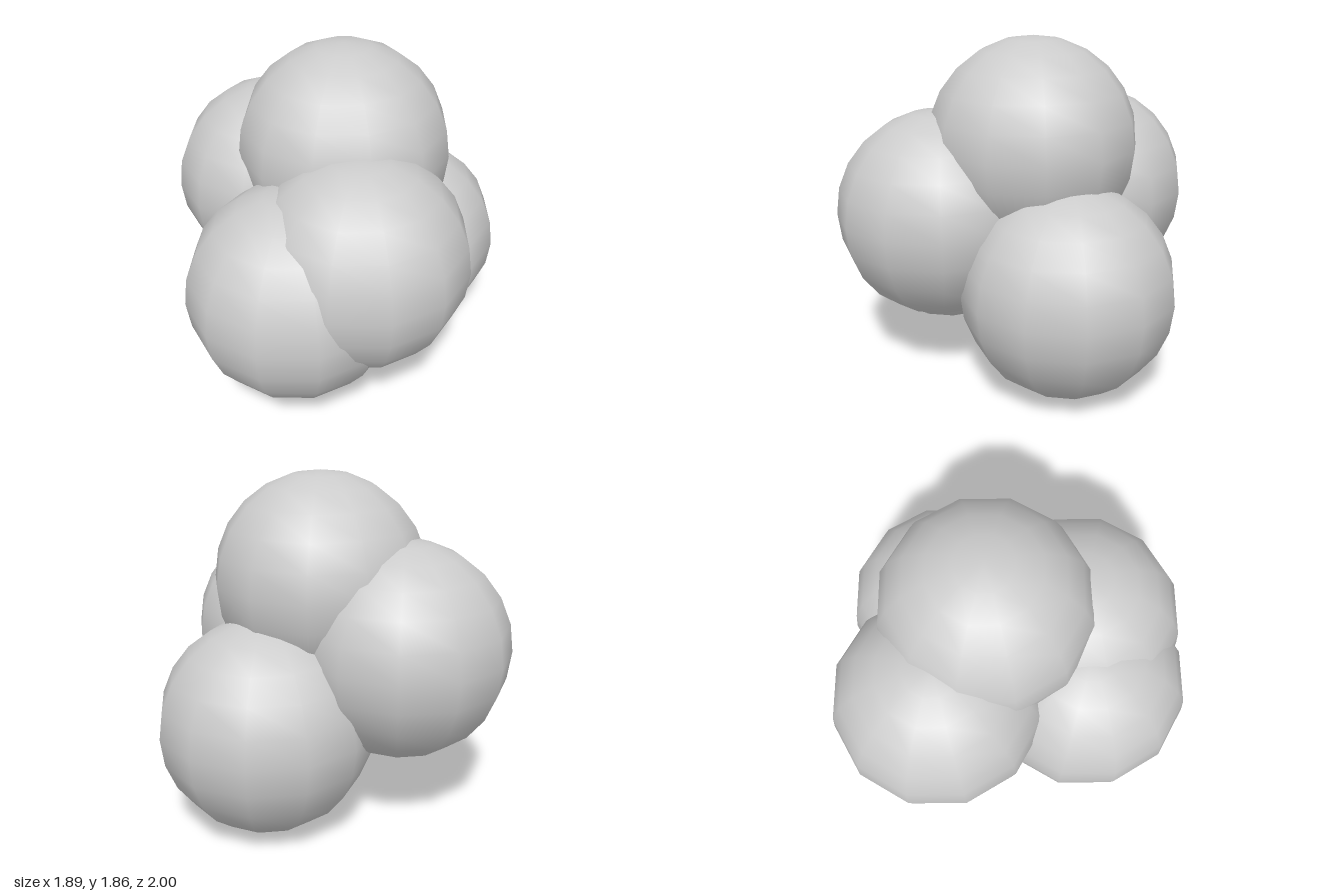
import * as THREE from 'three';

const RADIUS = 0.573;

// Centres of the five equal, overlapping balls
const BALLS = {
  topBall: [0, 1.285, -0.08],
  frontBall: [-0.043, 0.893, 0.427],
  frontRightBall: [-0.375, 0.718, 0.377],
  leftBall: [0.372, 0.573, -0.228],
  backBall: [-0.31, 0.96, -0.427],
};

export function createModel() {
  const group = new THREE.Group();
  group.name = 'ballCluster';

  const material = new THREE.MeshStandardMaterial({ color: 0xcccccc });
  // Low segment count with smooth normals
  const geometry = new THREE.SphereGeometry(RADIUS, 12, 12);

  for (const [name, position] of Object.entries(BALLS)) {
    const ball = new THREE.Mesh(geometry, material);
    ball.name = name;
    ball.position.set(...position);
    group.add(ball);
  }
  return group;
}
